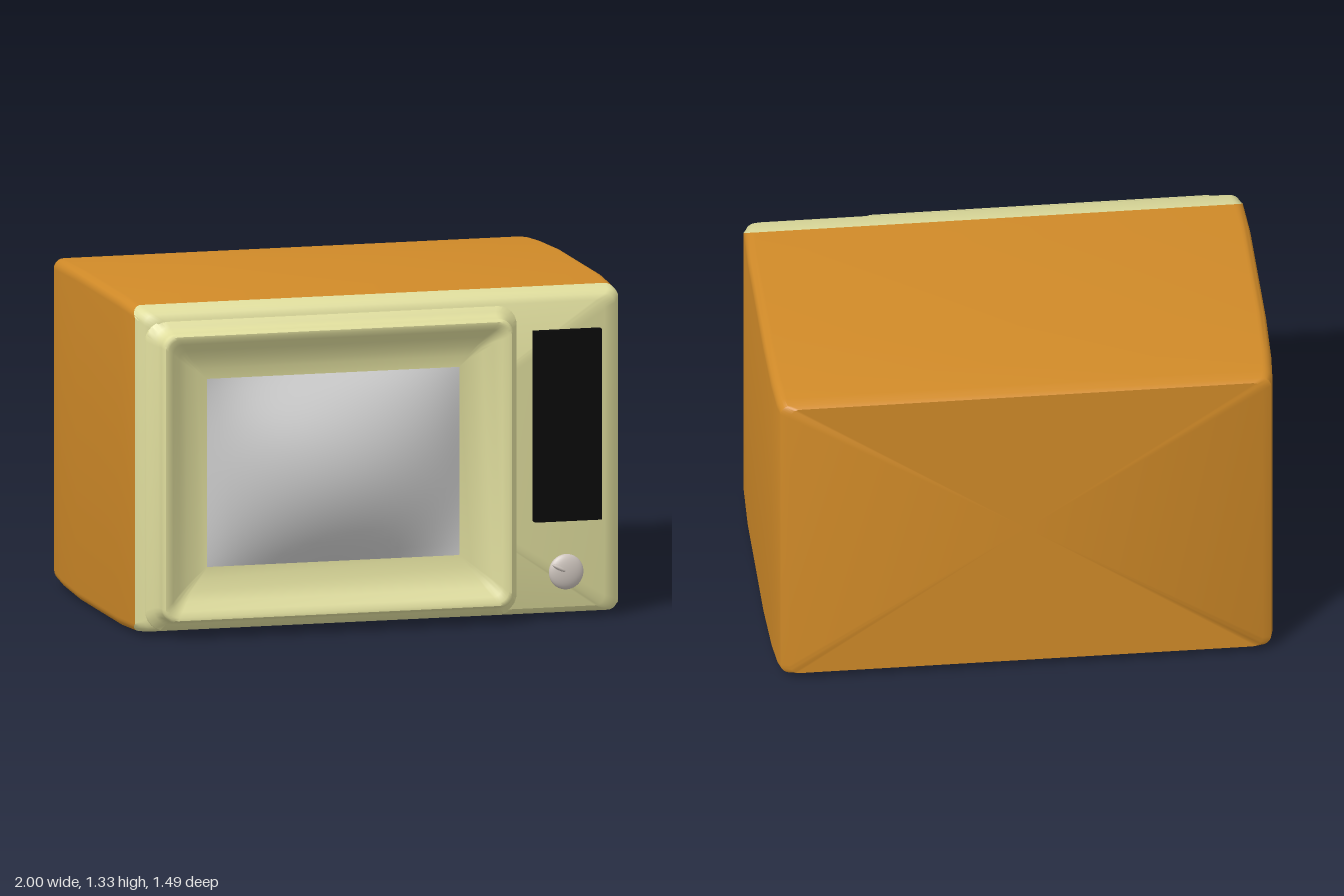
import * as THREE from 'three';
import { toCreasedNormals } from 'three/addons/utils/BufferGeometryUtils.js';

const paint = (color) => new THREE.MeshStandardMaterial({ color });

// Rounded rectangle ring, counter-clockwise from the front; z may depend on the corner angle.
function ring(x0, x1, y0, y1, z, r, n = 6) {
  const points = [];
  const corners = [[x1 - r, y0 + r], [x1 - r, y1 - r], [x0 + r, y1 - r], [x0 + r, y0 + r]];
  corners.forEach(([cx, cy], k) => {
    for (let i = 0; i <= n; i++) {
      const a = (k - 1 + i / n) * Math.PI / 2;
      const depth = typeof z === 'function' ? z(a) : z;
      points.push([cx + r * Math.cos(a), cy + r * Math.sin(a), depth]);
    }
  });
  return points;
}

// Skin a list of rings, optionally closing the back or the front with a fan.
function loft(rings, { back = false, front = false, crease = 0.7 } = {}) {
  const n = rings[0].length;
  const vertices = rings.flat(2);
  const index = [];
  for (let i = 0; i < rings.length - 1; i++) {
    for (let j = 0; j < n; j++) {
      const a = i * n + j, b = i * n + (j + 1) % n;
      index.push(a, b, b + n, a, b + n, a + n);
    }
  }
  const cap = (row, flip) => {
    const centre = vertices.length / 3;
    const mean = [0, 1, 2].map((k) => rings[row].reduce((s, p) => s + p[k], 0) / n);
    vertices.push(...mean);
    for (let j = 0; j < n; j++) {
      const a = row * n + j, b = row * n + (j + 1) % n;
      index.push(centre, flip ? b : a, flip ? a : b);
    }
  };
  if (back) cap(0, true);
  if (front) cap(rings.length - 1, false);
  const geometry = new THREE.BufferGeometry();
  geometry.setAttribute('position', new THREE.Float32BufferAttribute(vertices, 3));
  geometry.setIndex(index);
  return toCreasedNormals(geometry, crease);
}

export function createModel() {
  const model = new THREE.Group();
  const add = (name, geometry, material, parent = model) => {
    const mesh = new THREE.Mesh(geometry, material);
    mesh.name = name;
    parent.add(mesh);
    return mesh;
  };
  const orange = paint(0xd08a28), cream = paint(0xdedc9c);
  const black = paint(0x080808), silver = paint(0xcdc4bd);

  // Cabinet: gently barrelled shell, meeting the cream front along a seam
  const body = (hw, y0, y1, z, r = 0.04) => ring(-hw, hw, y0, y1, z, r);
  const seam = body(0.992, 0.007, 1.316, (a) => 0.53 - 0.06 * Math.abs(Math.sin(a)));
  add('cabinet', loft([
    body(0.94, 0.03, 1.295, -0.745),
    body(0.975, 0.022, 1.303, -0.725),
    body(0.985, 0.018, 1.308, -0.68),
    body(0.994, 0.009, 1.316, -0.55),
    body(1, 0, 1.325, -0.3),
    body(1, 0, 1.325, 0.3),
    seam,
  ], { back: true }), orange);

  // Cream front panel with softened edges
  add('frontPanel', loft([
    seam,
    body(0.982, 0.018, 1.306, 0.55),
    body(0.965, 0.028, 1.292, 0.573),
    body(0.92, 0.045, 1.27, 0.588),
  ], { front: true }), cream);

  // Raised screen surround: filleted foot, rim, then a dish down to the screen
  const outer = [-0.915, 0.52, 0.07, 1.225];
  const glass = [-0.715, 0.32, 0.275, 1.03];
  const grown = (g, z, r) => ring(outer[0] - g, outer[1] + g, outer[2] - g, outer[3] + g, z, r);
  const rim = outer.map((v, i) => v + (i % 2 ? -0.02 : 0.02));
  const dish = [[0.12, 0.67], [0.3, 0.642], [0.5, 0.622], [0.75, 0.607], [1, 0.6]];
  add('screenSurround', loft([
    grown(0.05, 0.56, 0.08),
    grown(0.045, 0.585, 0.08),
    grown(0.02, 0.598, 0.07),
    grown(0.006, 0.617, 0.06),
    grown(0, 0.645, 0.055),
    grown(0, 0.676, 0.055),
    grown(-0.008, 0.685, 0.05),
    ring(...rim, 0.684, 0.045),
    ...dish.map(([t, z]) => ring(
      ...rim.map((v, i) => THREE.MathUtils.lerp(v, glass[i], t)),
      z, THREE.MathUtils.lerp(0.045, 0.002, t))),
  ], { crease: 0.9 }), cream);

  // Bulging glass
  const w = glass[1] - glass[0], h = glass[3] - glass[2];
  const screen = new THREE.PlaneGeometry(w, h, 24, 18);
  const p = screen.attributes.position;
  for (let i = 0; i < p.count; i++) {
    const u = p.getX(i) / (w / 2), v = p.getY(i) / (h / 2);
    p.setZ(i, 0.14 * (1 - u * u) * (1 - v * v));
  }
  screen.computeVertexNormals();
  add('screen', screen, paint(0xcccccc))
    .position.set((glass[0] + glass[1]) / 2, (glass[2] + glass[3]) / 2, 0.6);

  // Speaker panel
  add('speakerPanel', new THREE.BoxGeometry(0.275, 0.765, 0.045), black)
    .position.set(0.762, 0.777, 0.603);

  // Tuning knob with its pointer
  const knob = new THREE.Group();
  knob.name = 'tuningKnob';
  knob.position.set(0.755, 0.19, 0.613);
  model.add(knob);
  add('knobDial', new THREE.SphereGeometry(0.071, 32, 20), silver, knob).scale.z = 0.37;
  const pointer = add('knobPointer', new THREE.SphereGeometry(0.03, 16, 10), silver, knob);
  pointer.scale.set(1.1, 0.3, 0.5);
  pointer.position.set(-0.032, 0.018, 0.017);
  pointer.rotation.z = -0.5;

  return model;
}
